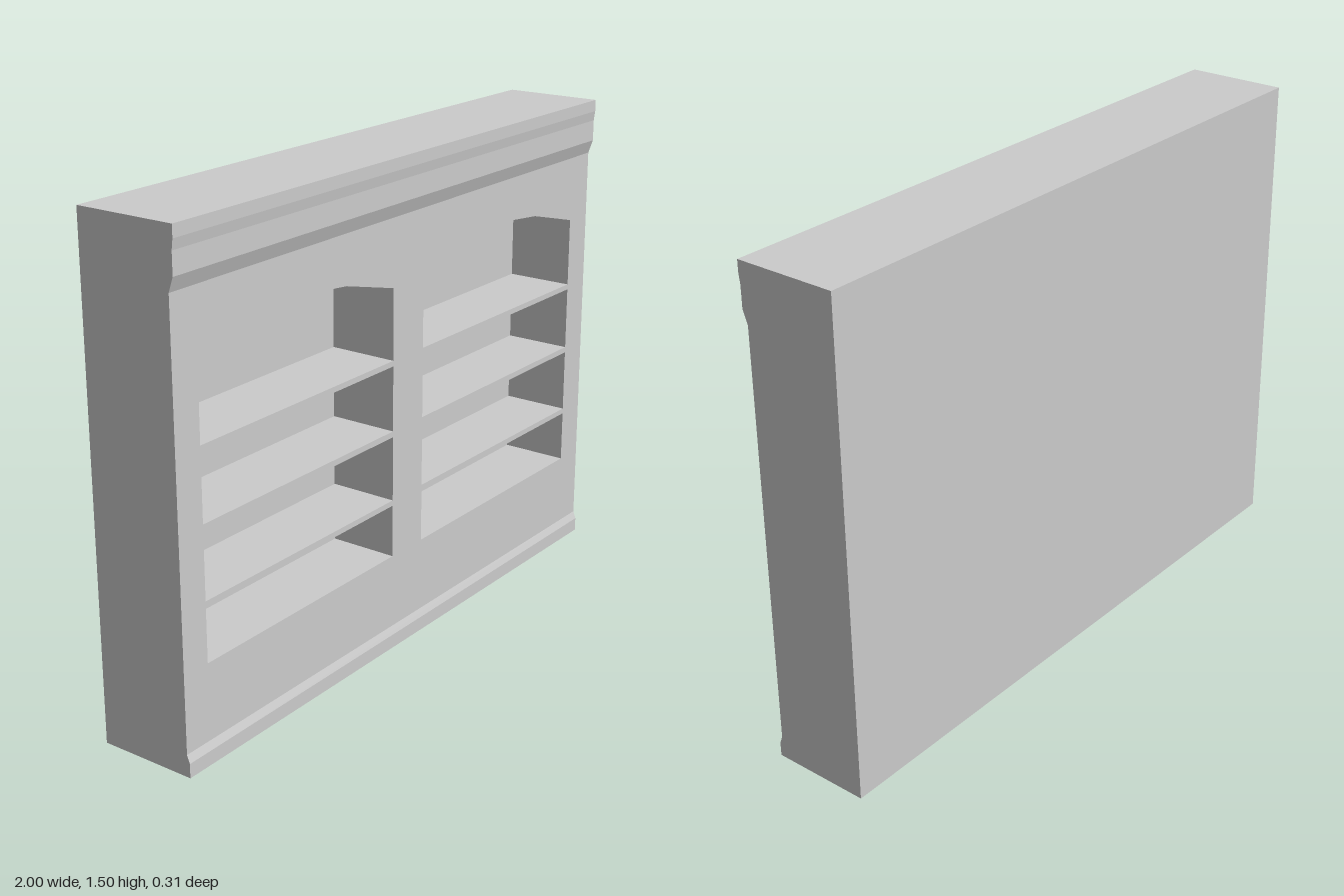
import * as THREE from 'three';

const WIDTH = 2, BACK = -0.157, FACE = 0.139, RECESS = -0.076;
const BASE_TOP = 0.067, CORNICE_BOTTOM = 1.33;

const material = new THREE.MeshStandardMaterial({ color: 0xcccccc, flatShading: true });

function addMesh(parent, name, geometry) {
  const mesh = new THREE.Mesh(geometry, material);
  mesh.name = name;
  parent.add(mesh);
  return mesh;
}

function boxBetween(x0, x1, y0, y1, z0, z1) {
  return new THREE.BoxGeometry(x1 - x0, y1 - y0, z1 - z0)
    .translate((x0 + x1) / 2, (y0 + y1) / 2, (z0 + z1) / 2);
}

// Runs a (z, y) moulding profile along the full width
function moulding(profile) {
  const shape = new THREE.Shape(profile.map(([z, y]) => new THREE.Vector2(-z, y)));
  return new THREE.ExtrudeGeometry(shape, { depth: WIDTH, bevelEnabled: false })
    .rotateY(Math.PI / 2)
    .translate(-WIDTH / 2, 0, 0);
}

export function createModel() {
  const group = new THREE.Group();
  group.name = 'wallBookcase';

  const niches = [
    { name: 'right', x0: -0.907, x1: -0.078 },
    { name: 'left', x0: 0.07, x1: 0.899 },
  ];
  const nicheBottom = 0.297;
  const shelves = [[0.46, 0.477], [0.676, 0.694], [0.893, 0.91]];
  // Faceted arch: fraction of the niche width, height
  const arch = [[1, 1.126], [0.735, 1.183], [0.5, 1.203], [0.265, 1.183], [0, 1.126]];

  // Front panel with two arched niches
  const front = new THREE.Shape([
    new THREE.Vector2(-WIDTH / 2, BASE_TOP), new THREE.Vector2(WIDTH / 2, BASE_TOP),
    new THREE.Vector2(WIDTH / 2, CORNICE_BOTTOM), new THREE.Vector2(-WIDTH / 2, CORNICE_BOTTOM),
  ]);
  for (const { x0, x1 } of niches) {
    front.holes.push(new THREE.Path([
      new THREE.Vector2(x0, nicheBottom), new THREE.Vector2(x1, nicheBottom),
      ...arch.map(([t, y]) => new THREE.Vector2(x0 + t * (x1 - x0), y)),
    ]));
  }
  addMesh(group, 'frontPanel',
    new THREE.ExtrudeGeometry(front, { depth: FACE - RECESS, bevelEnabled: false })
      .translate(0, 0, RECESS));

  // Solid back behind the niches
  addMesh(group, 'backPanel',
    boxBetween(-WIDTH / 2, WIDTH / 2, BASE_TOP, CORNICE_BOTTOM, BACK, RECESS));

  // Shelf boards flush with the front
  for (const { name, x0, x1 } of niches) {
    shelves.forEach(([y0, y1], i) =>
      addMesh(group, `${name}Shelf${i + 1}`, boxBetween(x0, x1, y0, y1, RECESS, FACE)));
  }

  // Plinth with a chamfered top edge
  addMesh(group, 'baseMoulding', moulding([
    [BACK, 0], [0.148, 0], [0.148, 0.043], [FACE, BASE_TOP], [BACK, BASE_TOP],
  ]));

  // Stepped cornice
  addMesh(group, 'cornice', moulding([
    [BACK, CORNICE_BOTTOM], [FACE, CORNICE_BOTTOM], [0.154, 1.372], [0.154, 1.437],
    [0.158, 1.467], [0.158, 1.503], [BACK, 1.503],
  ]));

  return group;
}
